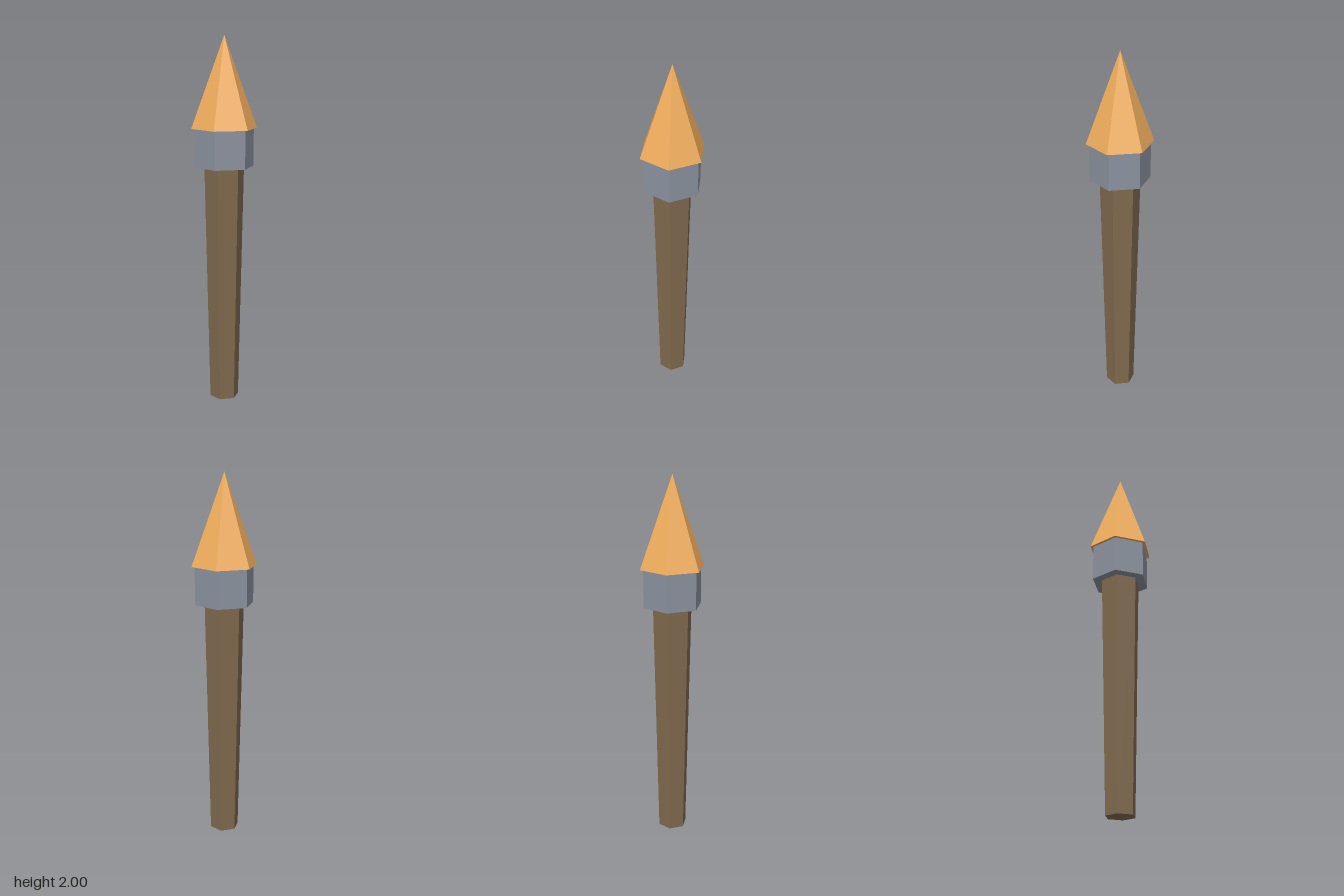
import * as THREE from 'three';

const SIDES = 6;

// Six-sided faceted section standing between two heights
function section(name, color, bottomRadius, topRadius, y0, y1) {
  const height = y1 - y0;
  const geometry = topRadius > 0
    ? new THREE.CylinderGeometry(topRadius, bottomRadius, height, SIDES)
    : new THREE.ConeGeometry(bottomRadius, height, SIDES);
  const mesh = new THREE.Mesh(geometry, new THREE.MeshStandardMaterial({ color, flatShading: true }));
  mesh.name = name;
  mesh.position.y = (y0 + y1) / 2;
  return mesh;
}

export function createModel() {
  const torch = new THREE.Group();
  torch.name = 'torch';
  torch.add(
    section('handle', 0x806a4e, 0.08, 0.109, 0, 1.31), // tapered wooden shaft
    section('collar', 0x8c93a0, 0.162, 0.162, 1.31, 1.515), // metal band
    section('flame', 0xf0ad5c, 0.179, 0, 1.515, 2), // pointed flame
  );
  return torch;
}
